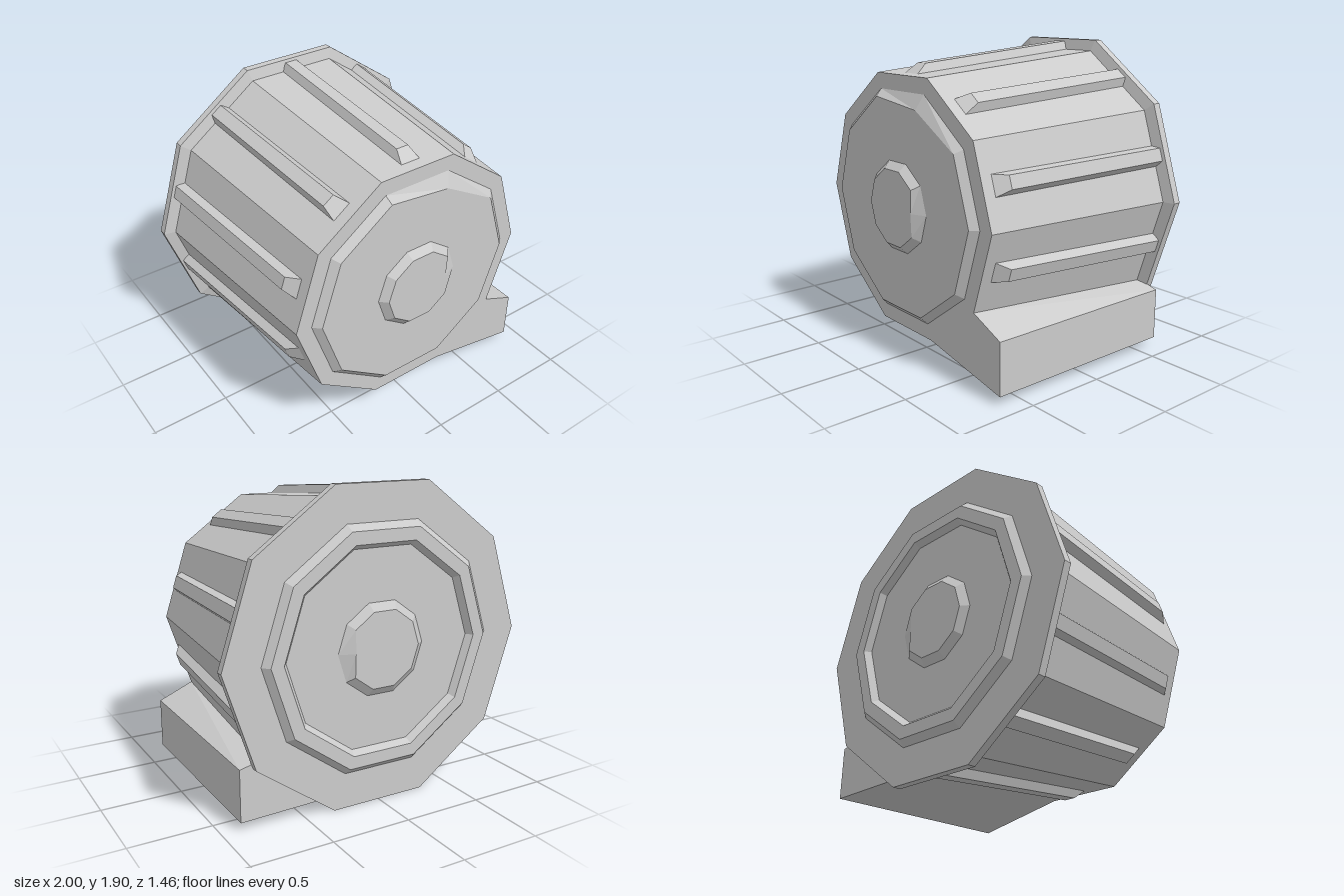
import * as THREE from 'three';

const SIDES = 10;
const CENTRE_Y = 0.951;
const material = new THREE.MeshStandardMaterial({ color: 0xcccccc, flatShading: true });

function facetedMesh(name, geometry) {
  const flat = geometry.toNonIndexed();
  flat.computeVertexNormals();
  const mesh = new THREE.Mesh(flat, material);
  mesh.name = name;
  return mesh;
}

// Ten-sided turned part around z; profile is [radius, z] from back to front
function turned(name, profile, adjust) {
  const points = profile.map(([r, z]) => new THREE.Vector2(r, z));
  const geometry = new THREE.LatheGeometry(points, SIDES, Math.PI / 2);
  geometry.rotateX(Math.PI / 2);
  if (adjust) {
    const p = geometry.attributes.position;
    for (let i = 0; i < p.count; i++) {
      const degrees = Math.round(THREE.MathUtils.radToDeg(Math.atan2(p.getY(i), p.getX(i))));
      const k = adjust(degrees, p.getZ(i));
      p.setXY(i, p.getX(i) * k, p.getY(i) * k);
    }
  }
  return facetedMesh(name, geometry);
}

// Six-sided block; corner(sx, sy, sz) returns the position of each corner
function block(name, corner) {
  const geometry = new THREE.BoxGeometry(2, 2, 2);
  const p = geometry.attributes.position;
  for (let i = 0; i < p.count; i++) {
    p.setXYZ(i, ...corner(p.getX(i), p.getY(i), p.getZ(i)));
  }
  return facetedMesh(name, geometry);
}

export function createModel() {
  const model = new THREE.Group();
  model.name = 'drumHousing';
  const body = new THREE.Group();
  body.name = 'body';
  body.position.y = CENTRE_Y;
  model.add(body);

  // Tapered drum and rear flange
  body.add(turned('drum', [[0.93, -0.64], [0.82, 0.645], [0, 0.645]]));
  body.add(turned('rearFlange', [[0, -0.69], [1, -0.69], [1, -0.64], [0.92, -0.62]]));

  // Rear raised rim and hub
  body.add(turned('rearRim', [[0.62, -0.69], [0.65, -0.73], [0.73, -0.73], [0.77, -0.69]]));
  body.add(turned('rearHub', [[0, -0.725], [0.24, -0.725], [0.29, -0.69]],
    (deg, z) => (z < -0.7 && deg === 0 ? 0.8 : 1)));

  // Front cover and hub, each with a slightly dented corner
  body.add(turned('frontCover', [[0.72, 0.645], [0.675, 0.687], [0, 0.687]],
    (deg, z) => (z > 0.66 && deg === 72 ? 0.93 : 1)));
  body.add(turned('frontHub', [[0.285, 0.687], [0.24, 0.73], [0, 0.73]],
    (deg, z) => (z > 0.7 && deg === 0 ? 0.78 : 1)));

  // Ribs on every flat except the one covered by the outlet
  const surface = (z) => 0.833 - 0.082 * z;
  for (let i = 0; i < SIDES; i++) {
    const degrees = 18 + 36 * i;
    if (degrees === 306) continue;
    const rib = block('rib', (sx, sy, sz) => {
      const z = sz < 0 ? -0.63 : sy > 0 ? 0.5 : 0.58;
      return [sx * (sy > 0 ? 0.04 : 0.065), surface(z) + (sy > 0 ? 0.051 : -0.004), z];
    });
    rib.rotation.z = THREE.MathUtils.degToRad(degrees - 90);
    body.add(rib);
  }

  // Outlet running tangentially off the lower left flat
  const outlet = block('outlet', (sx, sy, sz) => {
    const z = sz > 0 ? 0.645 : -0.645;
    if (sx > 0) return [0.89, sy > 0 ? 0.372 : 0.052, z];
    const r = sz > 0 ? 0.82 : 0.93;
    const a = THREE.MathUtils.degToRad(sy > 0 ? -36 : -72);
    return [r * Math.cos(a), CENTRE_Y + r * Math.sin(a), z];
  });
  model.add(outlet);

  return model;
}
